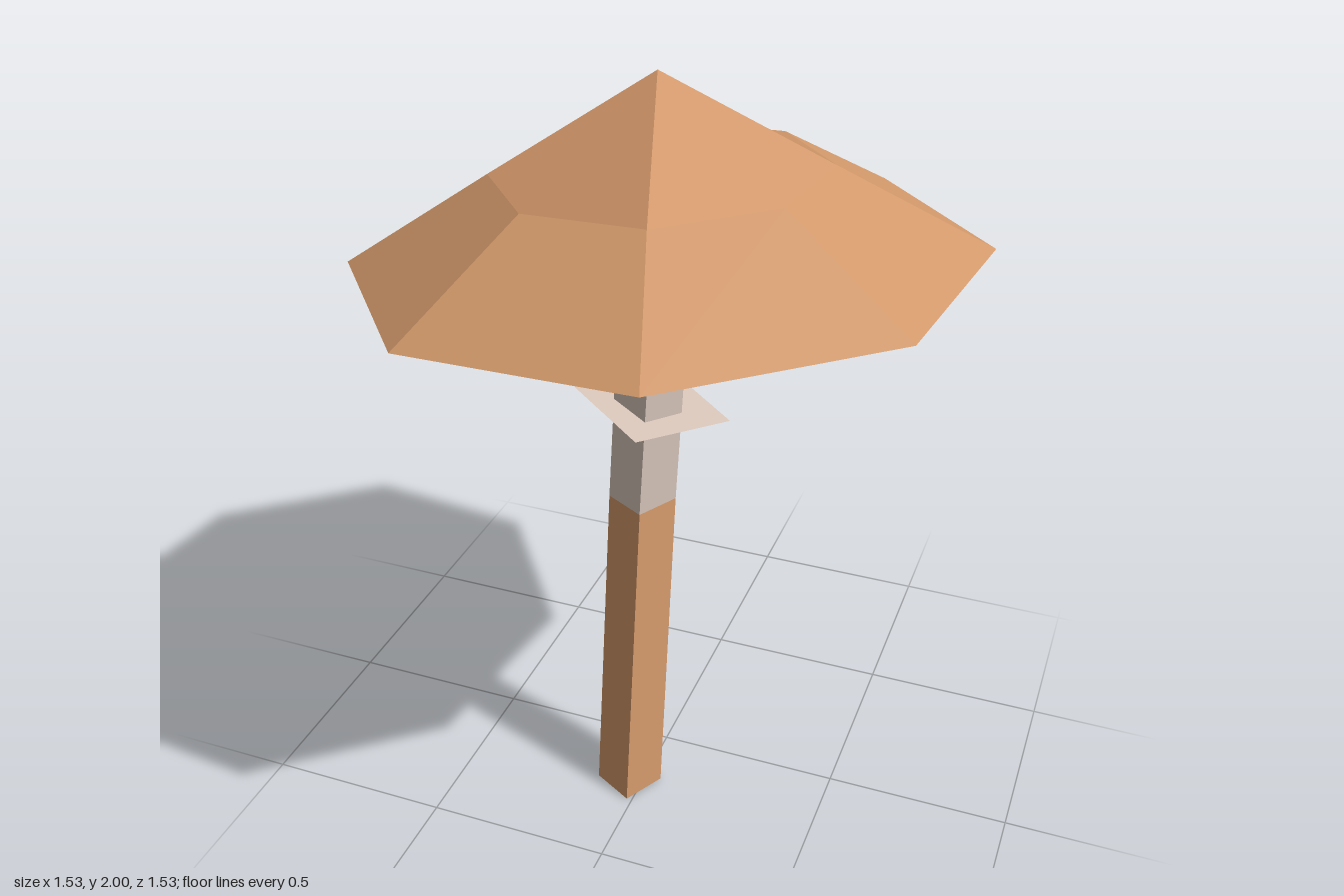
import * as THREE from 'three';

const V = (x, y, z) => new THREE.Vector3(x, y, z);

// Flat-faced geometry: each face is { n, tris }, with one shared normal per face
function facetGeometry(faces) {
  const pos = [], nor = [];
  for (const { n, tris } of faces) {
    for (const p of tris) {
      pos.push(p.x, p.y, p.z);
      nor.push(n.x, n.y, n.z);
    }
  }
  const g = new THREE.BufferGeometry();
  g.setAttribute('position', new THREE.Float32BufferAttribute(pos, 3));
  g.setAttribute('normal', new THREE.Float32BufferAttribute(nor, 3));
  return g;
}

// Quad a-b-c-d (counter-clockwise), cut along a-c or, when chord is set, along b-d
function quad(a, b, c, d, chord = false) {
  const n = c.clone().sub(a).cross(d.clone().sub(b)).normalize();
  return { n, tris: chord ? [a, b, d, b, c, d] : [a, b, c, a, c, d] };
}

// Tilted eight-sided ring of the cap
function capRing(r, cx, cy, cz) {
  return Array.from({ length: 8 }, (_, k) => {
    const t = THREE.MathUtils.degToRad(-16.7 + 45 * k);
    const dx = r * Math.cos(t), dz = r * Math.sin(t);
    return V(cx + dx, cy + 0.063 * dx + 0.034 * dz, cz + dz);
  });
}

// Square stem section, corners running front, right, back, left
const stemSection = (cx, y, cz) =>
  [[0.025, 0.085], [0.085, -0.025], [-0.025, -0.085], [-0.085, 0.025]]
    .map(([x, z]) => V(cx + x, y, cz + z));

function stemGeometry(lo, hi) {
  const faces = lo.map((p, i) => {
    const j = (i + 1) % 4;
    return quad(p, lo[j], hi[j], hi[i]);
  });
  faces.push(quad(...hi), quad(...[...lo].reverse()));
  return facetGeometry(faces);
}

export function createModel() {
  const brown = new THREE.MeshStandardMaterial({ color: 0xd2986a, side: THREE.DoubleSide });
  brown.name = 'capBrown';
  const beige = new THREE.MeshStandardMaterial({ color: 0xd8c5ba, side: THREE.DoubleSide });
  beige.name = 'stemBeige';

  const group = new THREE.Group();
  group.name = 'mushroom';
  const add = (name, geometry, material) => {
    const m = new THREE.Mesh(geometry, material);
    m.name = name;
    group.add(m);
  };

  // Cap: four large faces at the tip, eight around the rim, open below
  const apex = V(-0.03, 2, -0.02);
  const mid = capRing(0.42, -0.02, 1.76, -0.012);
  const rim = capRing(0.797, -0.002, 1.545, -0.002);
  const capFaces = [];
  for (let k = 0; k < 8; k += 2) {
    capFaces.push(quad(apex, mid[(k + 2) % 8], mid[k + 1], mid[k], k % 4 === 2));
  }
  for (let k = 0; k < 8; k++) {
    const j = (k + 1) % 8;
    capFaces.push(quad(mid[k], mid[j], rim[j], rim[k]));
  }
  add('cap', facetGeometry(capFaces), brown);

  // Bent stem in two colours
  const base = stemSection(-0.04, 0, 0.195);
  const knee = stemSection(-0.052, 0.86, 0.045);
  const top = stemSection(-0.016, 1.73, -0.003);
  add('lowerStem', stemGeometry(base, knee), brown);
  add('upperStem', stemGeometry(knee, top), beige);

  // Thin tilted collar around the stem
  add('collar', facetGeometry([quad(
    V(0.0, 1.135, 0.22), V(0.16, 1.09, -0.04), V(-0.09, 1.13, -0.21), V(-0.25, 1.17, 0.05)
  )]), beige);

  return group;
}
